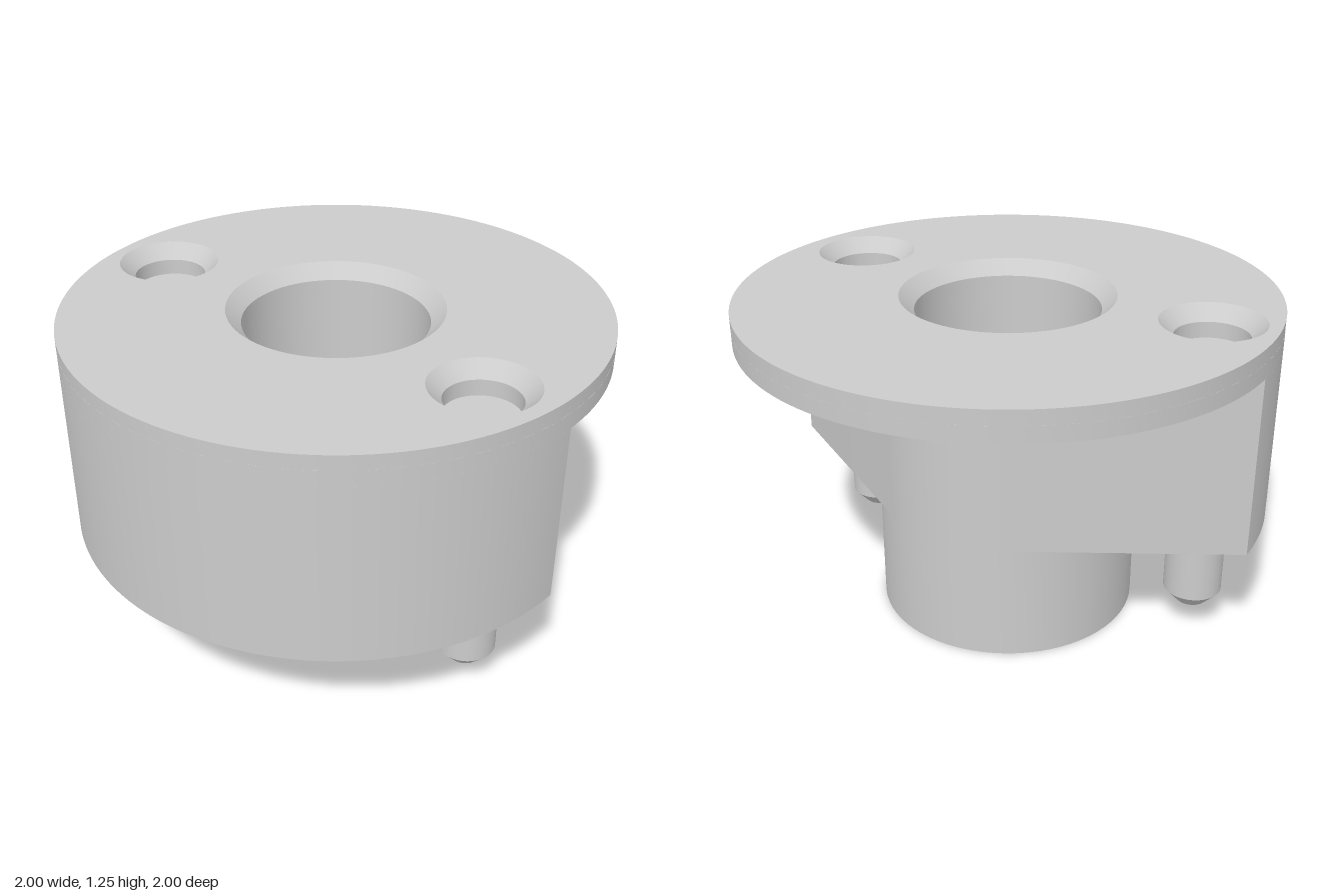
import * as THREE from 'three';
import { toCreasedNormals } from 'three/addons/utils/BufferGeometryUtils.js';

const TOP = 1.25, CHAMFER = 1.195, PLATE = 1.135, BODY = 0.45;
const rad = THREE.MathUtils.degToRad;
const material = new THREE.MeshStandardMaterial({ color: 0xcccccc });

// Recesses in the top plate: centre, mouth radius, inner radius
const bore = { x: 0, z: 0, mouth: 0.4, inner: 0.345 };
const sockets = [
  { x: 0.58, z: 0.48, mouth: 0.19, inner: 0.135 },
  { x: -0.715, z: -0.27, mouth: 0.19, inner: 0.135 },
];
const recesses = [bore, ...sockets];

function circle(x, z, r, PathType = THREE.Path) {
  const path = new PathType();
  path.absarc(x, z, r, 0, Math.PI * 2, false);
  return path;
}

// Plan outline drawn in (x, z), extruded downward from top to bottom
function slab(shape, top, bottom) {
  const geometry = new THREE.ExtrudeGeometry(shape, { depth: top - bottom, bevelEnabled: false, curveSegments: 72 });
  geometry.rotateX(Math.PI / 2).translate(0, top, 0);
  return toCreasedNormals(geometry, 0.5);
}

function turned(profile, segments = 72) {
  const points = profile.map(([r, y]) => new THREE.Vector2(r, y));
  return toCreasedNormals(new THREE.LatheGeometry(points, segments), 0.5);
}

export function createModel() {
  const group = new THREE.Group();
  const add = (name, geometry, x = 0, z = 0) => {
    const mesh = new THREE.Mesh(geometry, material);
    mesh.name = name;
    mesh.position.set(x, 0, z);
    group.add(mesh);
  };

  // Top plate: lower layer with straight holes, upper layer with chamfered mouths
  const lower = circle(0, 0, 1, THREE.Shape);
  lower.holes = recesses.map((h) => circle(h.x, h.z, h.inner));
  add('plateLowerLayer', slab(lower, CHAMFER, PLATE));

  const upper = circle(0, 0, 1, THREE.Shape);
  upper.holes = recesses.map((h) => circle(h.x, h.z, h.mouth));
  const face = new THREE.ShapeGeometry(upper, 72);
  face.rotateX(-Math.PI / 2).scale(1, 1, -1); // mirror so plan y becomes +z
  const index = face.index.array;
  for (let i = 0; i < index.length; i += 3) [index[i], index[i + 1]] = [index[i + 1], index[i]];
  face.computeVertexNormals();
  face.translate(0, TOP, 0);
  add('plateTopFace', face);
  add('plateRim', turned([[1, CHAMFER], [1, TOP]]));
  for (const h of recesses) {
    add('recessChamfer', turned([[h.mouth, TOP], [h.inner, CHAMFER]]), h.x, h.z);
  }

  // Half-round body whose two flats run tangent to the hub
  const outline = new THREE.Shape();
  outline.absarc(0, 0, 1, rad(30), rad(210), false);
  outline.absarc(0, 0, 0.5, rad(270), rad(330), false);
  outline.closePath();
  outline.holes = [circle(0, 0, bore.inner)];
  add('body', slab(outline, PLATE, BODY));

  // Lower hub with the narrow through hole
  add('hub', turned([[0.19, 0], [0.5, 0], [0.5, BODY], [0.19, BODY], [0.19, 0]]));

  // Chamfered locating pins below the sockets
  for (const s of sockets) {
    add('pin', turned([[0, 0.115], [0.06, 0.115], [0.11, 0.17], [0.11, BODY + 0.02]], 40), s.x, s.z);
  }
  return group;
}
